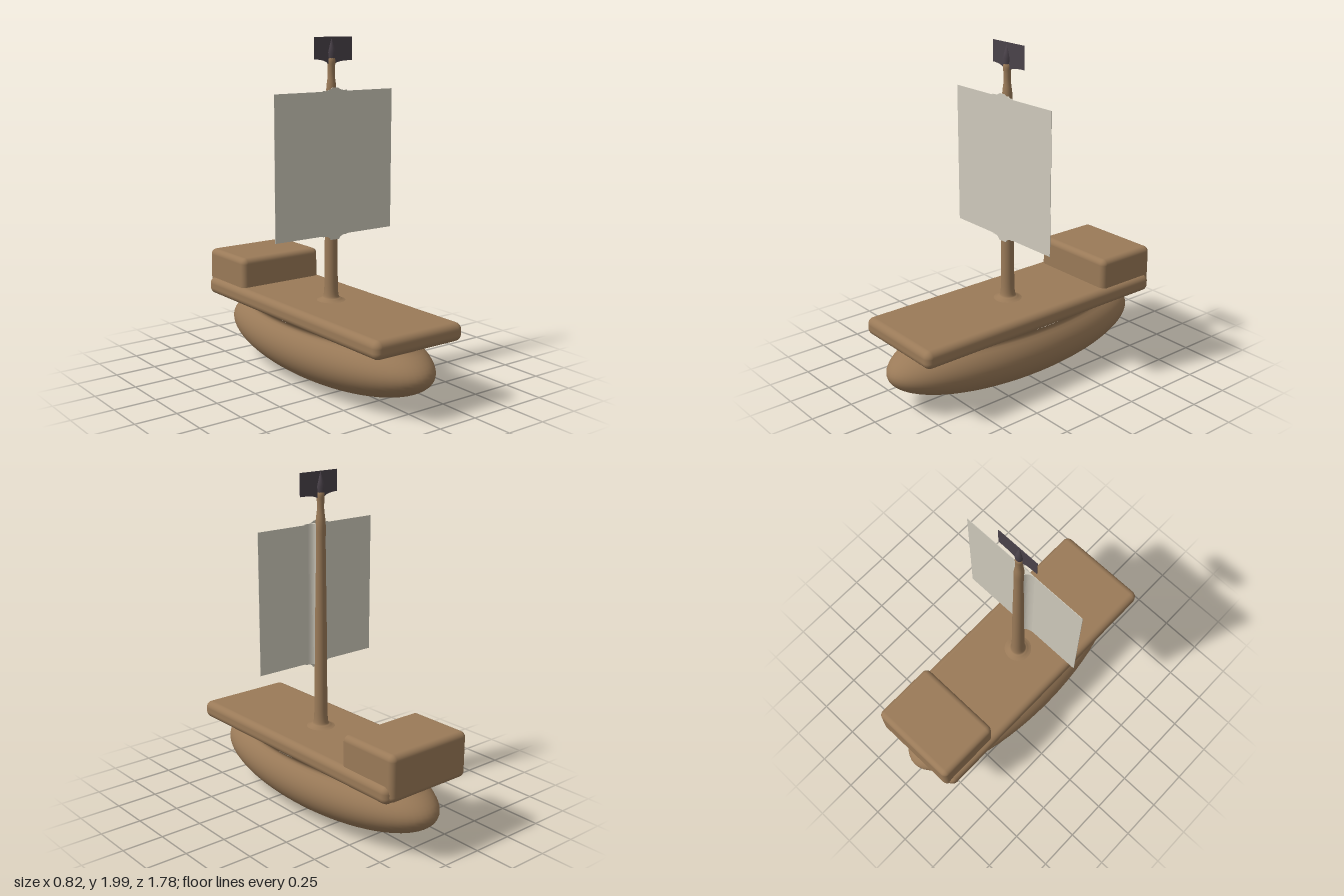
import * as THREE from 'three';
import { RoundedBoxGeometry } from 'three/addons/geometries/RoundedBoxGeometry.js';

const wood = new THREE.MeshStandardMaterial({ color: 0x9a7a58 });
const cloth = new THREE.MeshStandardMaterial({ color: 0xcfcabc, side: THREE.DoubleSide });
const dark = new THREE.MeshStandardMaterial({ color: 0x4a424a, side: THREE.DoubleSide });

const MAST_Z = 0.05;
const SAIL_Z = 0.085;

export function createModel() {
  const group = new THREE.Group();

  const add = (name, geometry, material, x = 0, y = 0, z = 0) => {
    const mesh = new THREE.Mesh(geometry, material);
    mesh.name = name;
    mesh.position.set(x, y, z);
    group.add(mesh);
    return mesh;
  };
  const points = (list) => list.map(([x, y]) => new THREE.Vector2(x, y));

  // Hull: stretched ellipsoid whose top pinches in, then flares into the deck
  const hullProfile = [];
  const centreY = 0.232, height = 0.226;
  const endAngle = Math.asin((0.35 - centreY) / height);
  for (let i = 0; i <= 28; i++) {
    const a = -Math.PI / 2 + (i / 28) * (endAngle + Math.PI / 2);
    hullProfile.push(new THREE.Vector2(Math.max(0, Math.cos(a)), centreY + height * Math.sin(a)));
  }
  hullProfile.push(...points([[0.84, 0.36], [0.84, 0.37], [0.86, 0.382], [0.89, 0.392]]));
  const hull = add('hull', new THREE.LatheGeometry(hullProfile, 64), wood);
  hull.scale.set(0.33, 1, 0.89);

  // Deck slab and stern cabin
  add('deck', new RoundedBoxGeometry(0.61, 0.105, 1.69, 5, 0.04), wood, 0, 0.435, 0);
  add('cabin', new RoundedBoxGeometry(0.56, 0.27, 0.405, 5, 0.035), wood, 0, 0.53, -0.663);

  // Mast, flared at its foot and pinched below the flag
  const mastProfile = new THREE.SplineCurve(points([
    [0.095, 0.484], [0.06, 0.498], [0.042, 0.53], [0.038, 0.7], [0.035, 1.1], [0.029, 1.55],
    [0.029, 1.7], [0.021, 1.78], [0.021, 1.83], [0.023, 1.87], [0.012, 1.9], [0.001, 1.92],
  ]));
  add('mast', new THREE.LatheGeometry(mastProfile.getPoints(66), 28), wood, 0, 0, MAST_Z);

  // Sail: thin sheet whose top and bottom edges swell where it meets the mast
  const sail = new THREE.Shape();
  sail.moveTo(-0.41, 0.88);
  sail.lineTo(-0.1, 0.88);
  sail.quadraticCurveTo(-0.035, 0.877, -0.03, 0.853);
  sail.lineTo(0.03, 0.853);
  sail.quadraticCurveTo(0.035, 0.877, 0.1, 0.88);
  sail.lineTo(0.41, 0.88);
  sail.lineTo(0.41, 1.7);
  sail.lineTo(0.1, 1.7);
  sail.quadraticCurveTo(0.04, 1.703, 0.02, 1.72);
  sail.lineTo(-0.02, 1.72);
  sail.quadraticCurveTo(-0.04, 1.703, -0.1, 1.7);
  sail.lineTo(-0.41, 1.7);
  sail.closePath();
  add('sail', new THREE.ExtrudeGeometry(sail, { depth: 0.003, bevelEnabled: false }), cloth, 0, 0, SAIL_Z);

  // Fairing that blends the sail's back into the mast
  const fairing = new THREE.Shape();
  fairing.moveTo(-0.085, 0);
  fairing.quadraticCurveTo(-0.04, 0.004, -0.028, 0.03);
  fairing.lineTo(0.028, 0.03);
  fairing.quadraticCurveTo(0.04, 0.004, 0.085, 0);
  fairing.closePath();
  const fairingGeometry = new THREE.ExtrudeGeometry(fairing, { depth: 0.83, bevelEnabled: false });
  fairingGeometry.rotateX(-Math.PI / 2);
  add('sailFairing', fairingGeometry, cloth, 0, 0.875, SAIL_Z + 0.001);

  // Flag: small sheet with a lower edge that droops onto the mast
  const flag = new THREE.Shape();
  flag.moveTo(-0.12, 1.877);
  flag.quadraticCurveTo(-0.04, 1.875, -0.025, 1.85);
  flag.lineTo(0.025, 1.85);
  flag.quadraticCurveTo(0.04, 1.868, 0.145, 1.868);
  flag.lineTo(0.145, 2);
  flag.lineTo(-0.12, 2);
  flag.closePath();
  add('flag', new THREE.ExtrudeGeometry(flag, { depth: 0.003, bevelEnabled: false }), dark, 0, 0, MAST_Z);

  // Swelling where the flag wraps the mast tip
  const knot = points([[0.018, 1.865], [0.025, 1.915], [0.015, 1.95], [0.001, 1.998]]);
  add('flagKnot', new THREE.LatheGeometry(knot, 12), dark, 0, 0, MAST_Z);

  return group;
}
